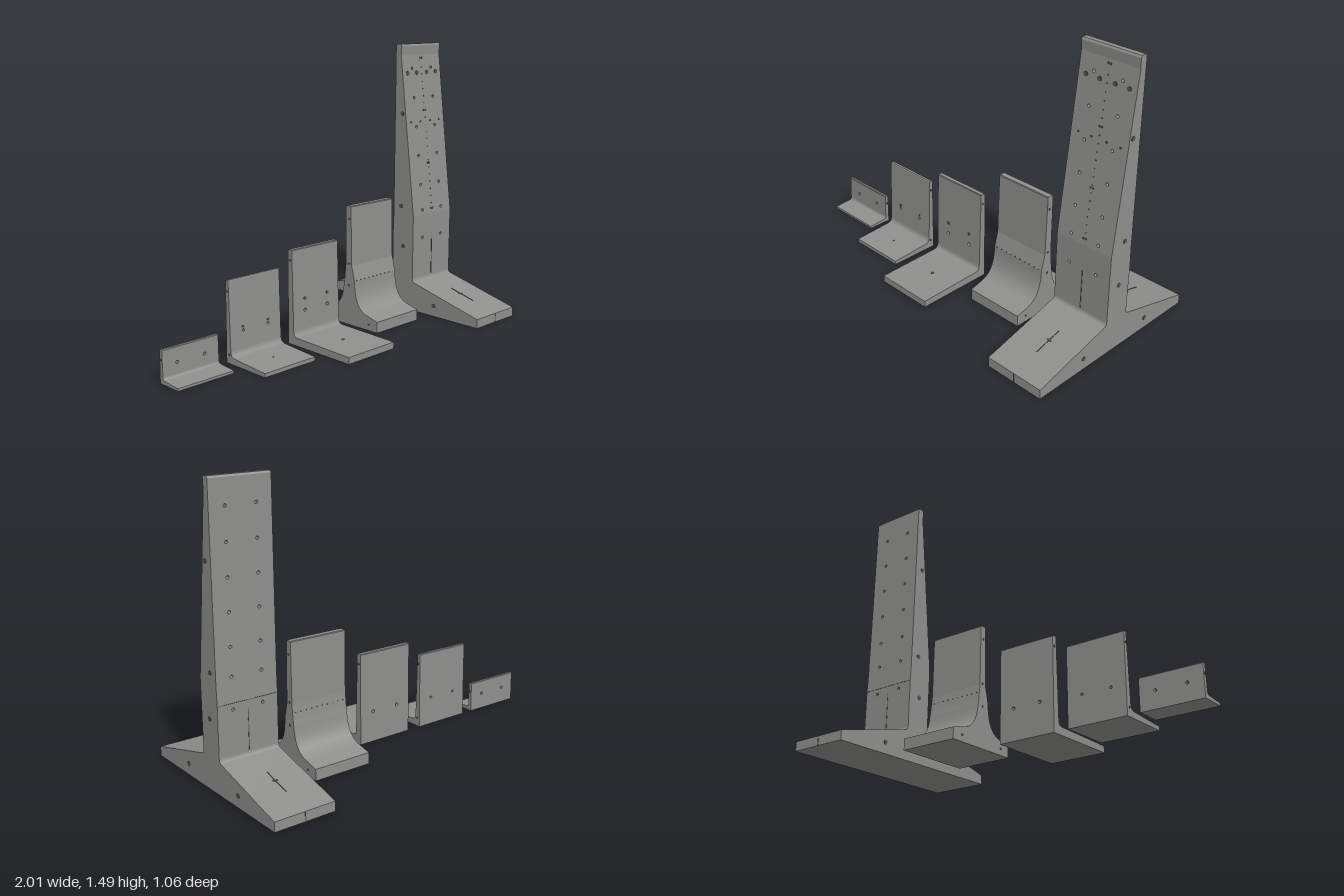
import * as THREE from 'three';
import { toCreasedNormals } from 'three/addons/utils/BufferGeometryUtils.js';

const concrete = new THREE.MeshStandardMaterial({ color: 0x8f8f8d });
concrete.name = 'concrete';
const socketGrey = new THREE.MeshStandardMaterial({ color: 0x555554 });
socketGrey.name = 'socket grey';
const W = 0.325;

function add(parent, geometry, name, material = concrete) {
  const mesh = new THREE.Mesh(geometry, material);
  mesh.name = name;
  parent.add(mesh);
  return mesh;
}

// Side profile (z, y) extruded across the width
function foot(parent, shape) {
  const g = new THREE.ExtrudeGeometry(shape, { depth: W, bevelEnabled: false, curveSegments: 10 });
  g.rotateY(-Math.PI / 2).translate(W / 2, 0, 0);
  add(parent, toCreasedNormals(g, 0.5), 'foot');
}

// Upright slab: rows are [y, zBack, zFront]; each pair makes one tapered panel with through holes
function stem(parent, rows, holes) {
  for (let i = 0; i < rows.length - 1; i++) {
    const [y0, b0, f0] = rows[i], [y1, b1, f1] = rows[i + 1];
    const s = new THREE.Shape();
    s.moveTo(-W / 2, y0).lineTo(W / 2, y0).lineTo(W / 2, y1).lineTo(-W / 2, y1).closePath();
    for (const [x, y, r] of holes) {
      if (y < y0 || y > y1) continue;
      s.holes.push(new THREE.Path().absarc(x, y, r, 0, Math.PI * 2, true));
    }
    const g = new THREE.ExtrudeGeometry(s, { depth: 1, bevelEnabled: false, curveSegments: 6 });
    const p = g.attributes.position;
    for (let k = 0; k < p.count; k++) {
      const t = (p.getY(k) - y0) / (y1 - y0);
      const back = b0 + (b1 - b0) * t, front = f0 + (f1 - f0) * t;
      p.setZ(k, back + (front - back) * p.getZ(k));
    }
    add(parent, toCreasedNormals(g, 0.7), 'stem');
  }
}

// Depth of the stem's front (2) or back (1) face at a height
function faceZ(rows, y, side) {
  const i = Math.max(1, rows.findIndex(r => r[0] >= y));
  const a = rows[i - 1], b = rows[i];
  return a[side] + (b[side] - a[side]) * (y - a[0]) / (b[0] - a[0]);
}

// Thin round insert; axis is the direction it faces
function socket(parent, x, y, z, r, axis, tilt = 0) {
  const m = add(parent, new THREE.CylinderGeometry(r, r, 0.005, 12), 'socket', socketGrey);
  m.position.set(x, y, z);
  if (axis === 'x') m.rotation.z = Math.PI / 2;
  if (axis === 'z') m.rotation.x = Math.PI / 2;
  if (axis === 'y') m.rotation.x = tilt;
}

function sideSockets(parent, list, r) {
  for (const [z, y] of list) for (const s of [-1, 1]) socket(parent, s * W / 2, y, z, r, 'x');
}

function groove(parent, w, h, d, x, y, z, tilt = 0) {
  const m = add(parent, new THREE.BoxGeometry(w, h, d), 'groove', socketGrey);
  m.position.set(x, y, z);
  m.rotation.x = tilt;
}

// L-shaped wall unit
function angleUnit(o) {
  const g = new THREE.Group();
  g.name = o.name;
  const s = new THREE.Shape();
  s.moveTo(0, 0).lineTo(o.depth, 0).lineTo(o.depth, o.edge).lineTo(o.t + o.fillet, o.heel);
  s.quadraticCurveTo(o.t, o.heel, o.t, o.heel + o.fillet).lineTo(0, o.heel + o.fillet).closePath();
  foot(g, s);
  const rows = [
    [o.heel + o.fillet, 0, o.t],
    [o.height - 0.004, 0, o.top],
    [o.height, 0.003, o.top - 0.003],
  ];
  stem(g, rows, [-0.08, 0.08].map(x => [x, o.holeY, o.holeR]));
  for (const x of [-0.08, 0.08])
    if (o.socketY) socket(g, x, o.socketY, faceZ(rows, o.socketY, 2), o.holeR, 'z');
  if (o.footZ) {
    const k = (o.depth - o.footZ) / (o.depth - o.t - o.fillet);
    socket(g, 0, o.edge + (o.heel - o.edge) * k, o.footZ, o.footR, 'y');
  }
  sideSockets(g, o.sides, 0.006);
  g.position.x = o.x;
  return g;
}

// Unit with a foot on both sides and swept fillets
function doubleFootUnit() {
  const g = new THREE.Group();
  g.name = 'doubleFootUnit';
  const s = new THREE.Shape();
  s.moveTo(-0.215, 0).lineTo(0.21, 0).lineTo(0.21, 0.06).lineTo(0.14, 0.078);
  s.quadraticCurveTo(0.055, 0.095, 0.045, 0.22).lineTo(-0.035, 0.22);
  s.quadraticCurveTo(-0.045, 0.095, -0.14, 0.078).lineTo(-0.215, 0.06).closePath();
  foot(g, s);
  const rows = [[0.22, -0.035, 0.045], [0.25, -0.03, 0.043], [0.33, -0.022, 0.022],
    [0.651, -0.022, 0.014], [0.655, -0.019, 0.011]];
  stem(g, rows, []);
  for (let i = 0; i < 10; i++) {
    const x = -0.144 + i * 0.032;
    socket(g, x, 0.29, faceZ(rows, 0.29, 1), 0.003, 'z');
    socket(g, x, 0.25, faceZ(rows, 0.25, 2), 0.003, 'z');
  }
  sideSockets(g, [[0, 0.585], [0, 0.34], [0, 0.22], [0.15, 0.035], [-0.15, 0.035]], 0.006);
  g.position.x = 0.3975;
  return g;
}

// Tall tapered unit with sloping feet
function tallUnit() {
  const g = new THREE.Group();
  g.name = 'tallUnit';
  const s = new THREE.Shape();
  s.moveTo(-0.53, 0).lineTo(0.53, 0).lineTo(0.53, 0.05).lineTo(0.09, 0.162);
  s.quadraticCurveTo(0.073, 0.166, 0.073, 0.185).lineTo(-0.073, 0.185);
  s.quadraticCurveTo(-0.073, 0.166, -0.09, 0.162).lineTo(-0.53, 0.05).closePath();
  foot(g, s);
  const rows = [[0.185, -0.073, 0.073], [0.44, -0.075, 0.073], [0.54, -0.072, 0.073],
    [1.43, -0.072, -0.035], [1.48, -0.072, -0.032], [1.49, -0.066, -0.038]];
  const holes = [];
  for (const y of [0.41, 0.568, 0.71, 0.873, 1.033, 1.193, 1.355])
    for (const x of [-0.08, 0.08]) holes.push([x, y, 0.008]);
  stem(g, rows, holes);
  // Rows of front inserts
  for (const x of [-0.12, -0.043, 0.043, 0.12]) {
    socket(g, x, 1.33, faceZ(rows, 1.33, 2), 0.012, 'z');
    socket(g, x, 1.06, faceZ(rows, 1.06, 2), 0.006, 'z');
  }
  for (const y of [0.57, 0.825, 1.12, 1.41])
    for (const x of [-0.007, 0.007]) socket(g, x, y, faceZ(rows, y, 2), 0.006, 'z');
  for (let y = 0.6; y < 1.4; y += 0.04) socket(g, 0, y, faceZ(rows, y, 2), 0.003, 'z');
  sideSockets(g, [[-0.02, 1.11], [-0.02, 0.59], [0, 0.36], [0.23, 0.06], [-0.23, 0.06]], 0.012);
  // Centre grooves, mirrored front and back
  const slope = Math.atan2(0.112, 0.44);
  for (const d of [-1, 1]) {
    groove(g, 0.004, 0.21, 0.004, 0, 0.295, d * 0.073);
    groove(g, 0.004, 0.004, 0.16, 0, 0.109, d * 0.3, d * slope);
    groove(g, 0.004, 0.05, 0.004, 0, 0.025, d * 0.53);
    for (const x of [-0.007, 0.007]) socket(g, x, 0.111, d * 0.29, 0.006, 'y', d * slope);
  }
  groove(g, W, 0.003, 0.003, 0, 0.44, -0.0745);
  g.position.x = 0.8375;
  return g;
}

export function createModel() {
  const model = new THREE.Group();
  model.name = 'retainingWallUnits';
  model.add(
    angleUnit({ name: 'kerbUnit', x: -0.8375, depth: 0.135, height: 0.165, edge: 0.013, heel: 0.02,
      t: 0.022, top: 0.018, fillet: 0.015, holeY: 0.088, holeR: 0.008, sides: [[0.01, 0.115]] }),
    angleUnit({ name: 'lowUnit', x: -0.4475, depth: 0.28, height: 0.415, edge: 0.02, heel: 0.033,
      t: 0.032, top: 0.02, fillet: 0.035, holeY: 0.153, holeR: 0.007, socketY: 0.172,
      footZ: 0.155, footR: 0.004, sides: [[0.012, 0.36], [0.02, 0.045]] }),
    angleUnit({ name: 'mediumUnit', x: -0.0425, depth: 0.43, height: 0.495, edge: 0.035, heel: 0.042,
      t: 0.04, top: 0.028, fillet: 0.03, holeY: 0.168, holeR: 0.009, socketY: 0.23,
      footZ: 0.23, footR: 0.008, sides: [[0.015, 0.44]] }),
    doubleFootUnit(),
    tallUnit(),
  );
  return model;
}
